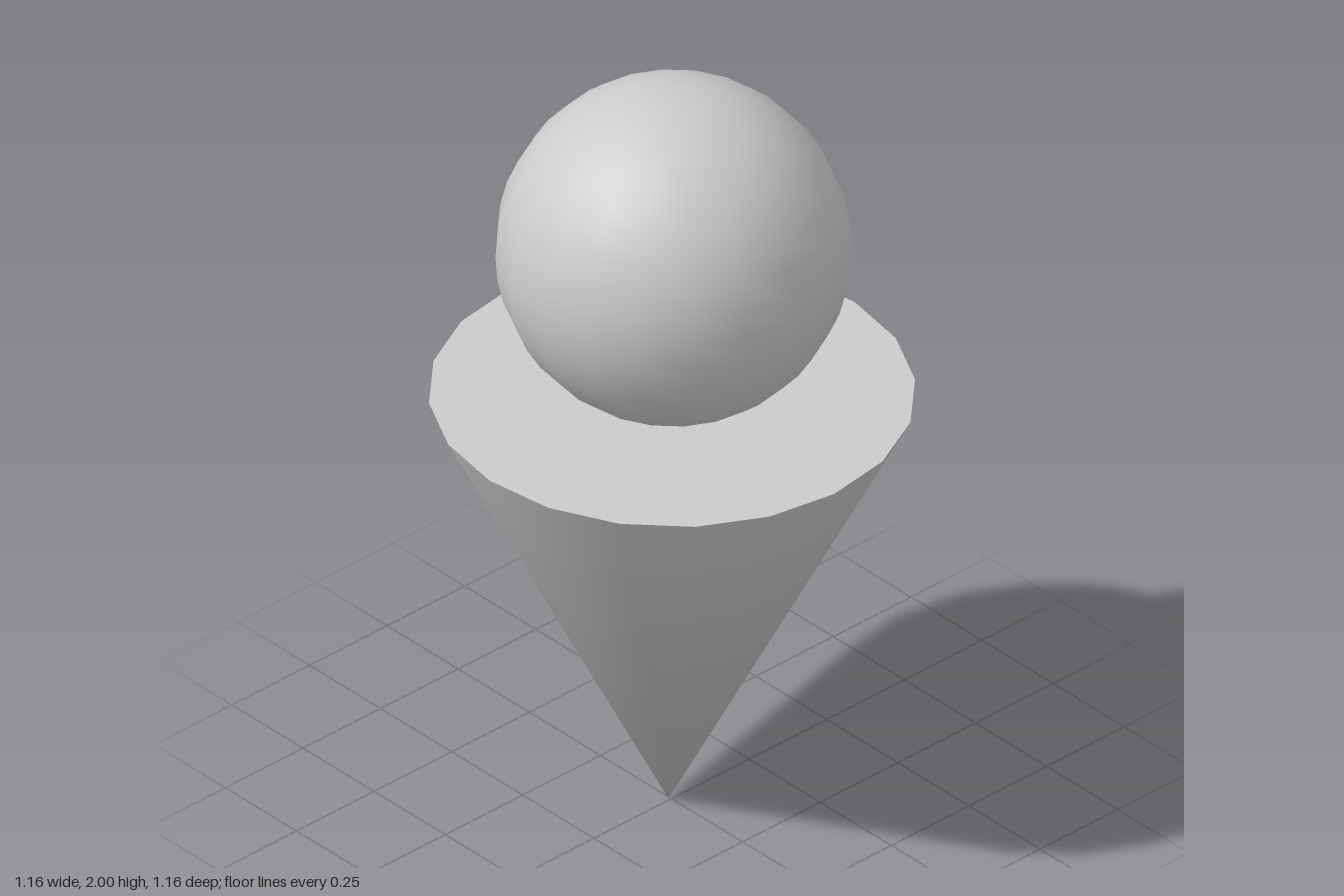
import * as THREE from 'three';
import { mergeVertices } from 'three/addons/utils/BufferGeometryUtils.js';

const SIDES = 20;
const CONE_RADIUS = 0.58;
const CONE_HEIGHT = 1.165;
const BALL_RADIUS = 0.425;

// Cone wall standing on its tip, with one shared tip vertex so the shading runs smoothly into it
function coneWall() {
  const cone = new THREE.ConeGeometry(CONE_RADIUS, CONE_HEIGHT, SIDES, 1, true);
  cone.deleteAttribute('normal');
  cone.deleteAttribute('uv');
  const geometry = mergeVertices(cone, 1e-4);
  geometry.rotateX(Math.PI).translate(0, CONE_HEIGHT / 2, 0);
  geometry.computeVertexNormals();
  return geometry;
}

export function createModel() {
  const model = new THREE.Group();
  model.name = 'ballOnCone';
  const material = new THREE.MeshStandardMaterial({ color: 0xcccccc });

  const add = (name, geometry, parent) => {
    const mesh = new THREE.Mesh(geometry, material);
    mesh.name = name;
    parent.add(mesh);
    return mesh;
  };

  // Everything leans very slightly about the tip
  const body = new THREE.Group();
  body.name = 'body';
  body.position.set(-0.005, 0, 0.005);
  body.rotation.set(-0.005, 0, -0.005);
  model.add(body);

  // Cone: smooth wall and flat lid, turned a little about its axis
  const cone = new THREE.Group();
  cone.name = 'cone';
  cone.rotation.y = -0.016;
  body.add(cone);
  add('coneWall', coneWall(), cone);
  const lid = new THREE.CircleGeometry(CONE_RADIUS, SIDES);
  lid.rotateX(-Math.PI / 2).translate(0, CONE_HEIGHT, 0);
  add('coneLid', lid, cone);

  // Ball resting on the lid
  const ball = add('ball', new THREE.SphereGeometry(BALL_RADIUS, SIDES, 20), body);
  ball.position.y = 2 - BALL_RADIUS;

  return model;
}
